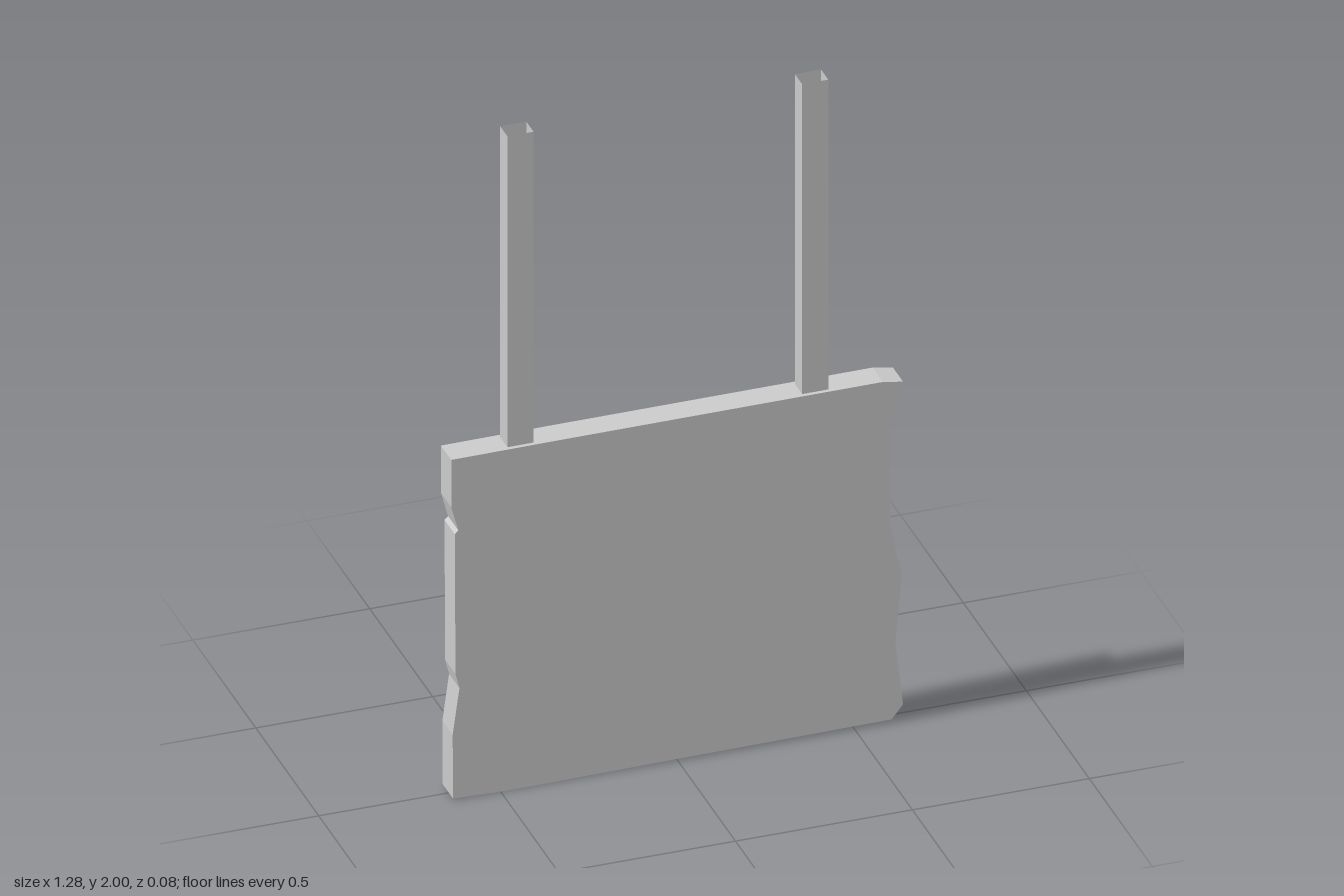
import * as THREE from 'three';

const material = new THREE.MeshStandardMaterial({
  color: 0xcccccc, flatShading: true, side: THREE.DoubleSide,
});

// Open-ended walls along a closed counter-clockwise outline, from z0 to z1
function wallGeometry(outline, z0, z1) {
  const positions = [];
  outline.forEach(([ax, ay], i) => {
    const [bx, by] = outline[(i + 1) % outline.length];
    positions.push(ax, ay, z0, bx, by, z0, bx, by, z1);
    positions.push(ax, ay, z0, bx, by, z1, ax, ay, z1);
  });
  const geometry = new THREE.BufferGeometry();
  geometry.setAttribute('position', new THREE.Float32BufferAttribute(positions, 3));
  geometry.computeVertexNormals();
  return geometry;
}

function addMesh(parent, name, geometry) {
  const mesh = new THREE.Mesh(geometry, material);
  mesh.name = name;
  parent.add(mesh);
  return mesh;
}

export function createModel() {
  const model = new THREE.Group();
  model.name = 'hangingSign';

  // Worn board outline, counter-clockwise from the lower left corner
  const outline = [
    [-0.635, 0.005], [-0.48, 0], [0.01, 0.005], [0.605, 0.01],
    [0.637, 0.05], [0.615, 0.245], [0.633, 0.445], [0.6, 0.605],
    [0.6, 0.895], [0.637, 1.04], [0.58, 1.05], [-0.34, 1.047],
    [-0.64, 1.045], [-0.64, 0.9], [-0.62, 0.825], [-0.63, 0.815],
    [-0.628, 0.385], [-0.617, 0.34], [-0.636, 0.2],
  ];
  const halfDepth = 0.041;

  // Board: a front panel with a rim, open at the back
  const board = new THREE.Group();
  board.name = 'board';
  model.add(board);
  const shape = new THREE.Shape(outline.map(([x, y]) => new THREE.Vector2(x, y)));
  addMesh(board, 'frontPanel', new THREE.ShapeGeometry(shape)).position.z = halfDepth;
  addMesh(board, 'rim', wallGeometry(outline, -halfDepth, halfDepth));

  // Hollow square hangers, just piercing the top rim
  const w = 0.037, d = 0.029;
  const section = [[-w, -d], [w, -d], [w, d], [-w, d]];
  for (const [name, x] of [['rightHanger', -0.44], ['leftHanger', 0.393]]) {
    const hanger = addMesh(model, name, wallGeometry(section, 1.02, 2));
    hanger.rotation.x = -Math.PI / 2;
    hanger.position.x = x;
  }
  return model;
}
